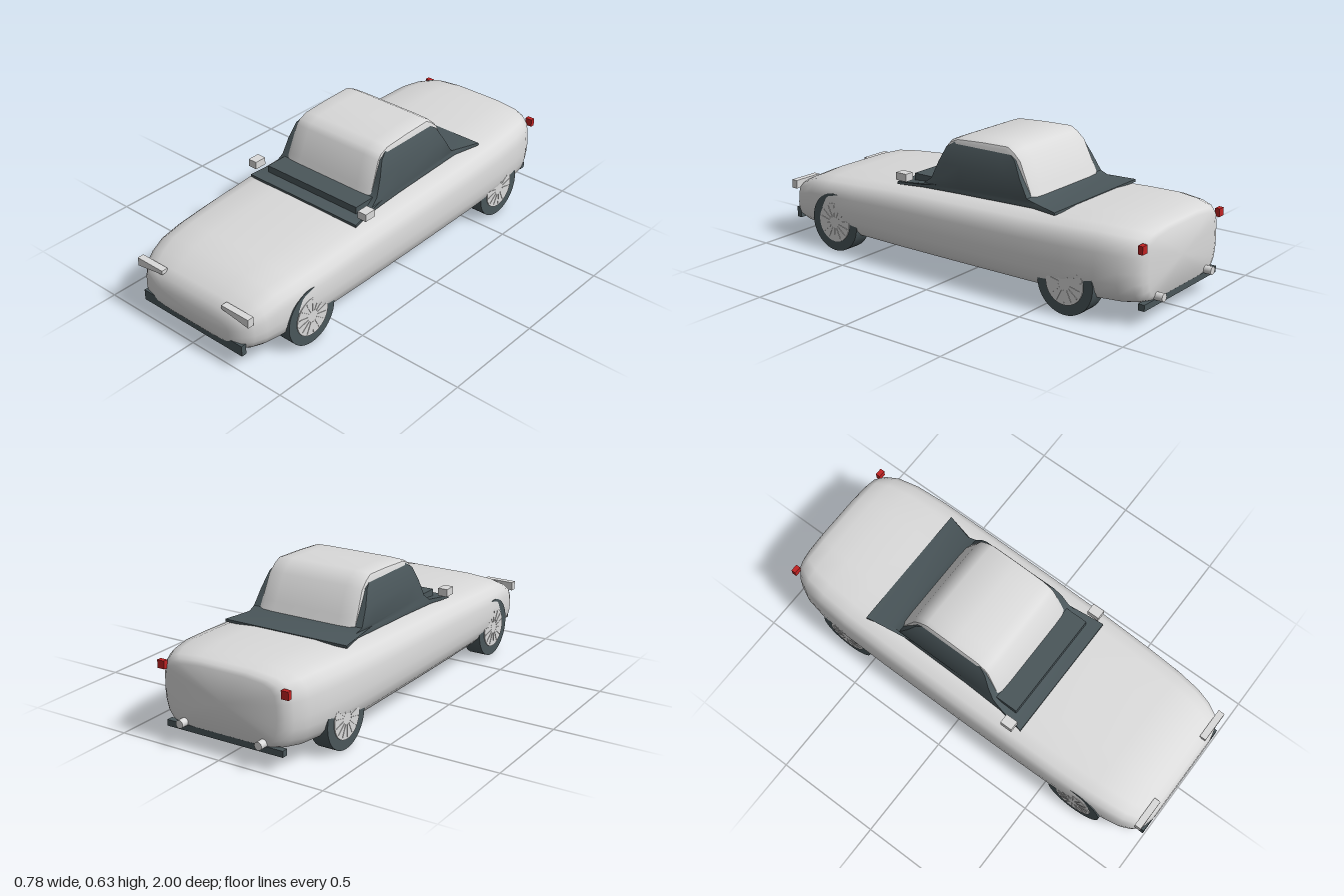
import * as THREE from 'three';
import { toCreasedNormals } from 'three/addons/utils/BufferGeometryUtils.js';

const mat = (name, color) => Object.assign(new THREE.MeshStandardMaterial({ color }), { name });

// Skins a list of equal-length closed rings and caps both ends
function loft(rings, crease) {
  const n = rings[0].length, pos = rings.flat(2), idx = [];
  for (let r = 0; r < rings.length - 1; r++) {
    for (let i = 0; i < n; i++) {
      const a = r * n + i, b = r * n + (i + 1) % n;
      idx.push(a, b, b + n, a, b + n, a + n);
    }
  }
  [0, rings.length - 1].forEach((r, end) => {
    const c = pos.length / 3;
    for (let k = 0; k < 3; k++) pos.push(rings[r].reduce((s, p) => s + p[k], 0) / n);
    for (let i = 0; i < n; i++) {
      const a = r * n + i, b = r * n + (i + 1) % n;
      if (end) idx.push(a, b, c); else idx.push(b, a, c);
    }
  });
  // Turn the faces outward if the enclosed volume is negative
  const v = i => new THREE.Vector3().fromArray(pos, i * 3);
  let volume = 0;
  for (let i = 0; i < idx.length; i += 3) volume += v(idx[i]).dot(v(idx[i + 1]).cross(v(idx[i + 2])));
  if (volume < 0) idx.reverse();
  const g = new THREE.BufferGeometry();
  g.setAttribute('position', new THREE.Float32BufferAttribute(pos, 3));
  g.setIndex(idx);
  return toCreasedNormals(g, crease);
}

// Completes a right-hand outline with its mirror image in x
const mirrorRing = half => [
  ...half,
  ...half.filter(p => p[0] > 0).reverse().map(([x, y, z]) => [-x, y, z]),
];

export function createModel() {
  const car = new THREE.Group();
  car.name = 'car';
  const paint = mat('silverPaint', 0xdadada);
  const dark = mat('darkGlassAndRubber', 0x4a565a);
  const red = mat('redLamp', 0xc02222);

  const add = (name, geometry, material, x = 0, y = 0, z = 0, parent = car) => {
    const m = new THREE.Mesh(geometry, material);
    m.name = name;
    m.position.set(x, y, z);
    parent.add(m);
    return m;
  };
  // Box given by its limits
  const box = (name, material, x0, x1, y0, y1, z0, z1) =>
    add(name, new THREE.BoxGeometry(x1 - x0, y1 - y0, z1 - z0), material,
      (x0 + x1) / 2, (y0 + y1) / 2, (z0 + z1) / 2);

  // Body: one rounded section scaled along the length
  const section = [[0, 0], [0.52, 0], [0.73, 0.025], [0.88, 0.08], [0.955, 0.18], [0.99, 0.32], [1, 0.47],
    [0.99, 0.68], [0.965, 0.82], [0.89, 0.91], [0.75, 0.965], [0.4, 1], [0, 1]];
  // z, half width, bottom, top
  const stations = [
    [1, 0.22, 0.11, 0.2], [0.985, 0.285, 0.09, 0.247], [0.95, 0.322, 0.077, 0.276], [0.9, 0.345, 0.073, 0.3],
    [0.83, 0.36, 0.07, 0.33], [0.72, 0.373, 0.07, 0.343], [0.55, 0.381, 0.07, 0.356], [0.3, 0.386, 0.068, 0.374],
    [0, 0.388, 0.068, 0.384], [-0.4, 0.387, 0.068, 0.395], [-0.62, 0.384, 0.068, 0.405], [-0.77, 0.373, 0.07, 0.41],
    [-0.87, 0.353, 0.072, 0.404], [-0.93, 0.322, 0.077, 0.396], [-0.955, 0.295, 0.085, 0.386], [-0.965, 0.265, 0.1, 0.37],
  ];
  const bodyRings = stations.map(([z, w, y0, y1]) =>
    mirrorRing(section.map(([x, y]) => [x * w, y0 + y * (y1 - y0), z])));
  add('body', loft(bodyRings, 1.1), paint);

  // Dark cabin sides flaring into a thin base plate that follows the deck
  const deck = z => 0.391 - 0.0255 * z;
  const plate = [[0.31, 0.325], [0.287, 0.2], [0.28, 0], [0.277, -0.4], [0.31, -0.535]];
  const skirt = [[0.285, 0.19], [0.283, 0.12], [0.278, 0], [0.274, -0.28], [0.274, -0.41]];
  const level = (y, w, z0, z1) => [z0, z0 * 0.7, 0, z1 * 0.75, z1].map(z => [w, y, z]);
  const cabinRings = [
    plate.map(([x, z]) => [x, deck(z) - 0.012, z]),
    plate.map(([x, z]) => [x, deck(z), z]),
    skirt.map(([x, z]) => [x, deck(z) + 0.01, z]),
    level(0.425, 0.279, 0.152, -0.37),
    level(0.5, 0.269, 0.12, -0.325),
    level(0.57, 0.251, 0.088, -0.285),
    level(0.603, 0.234, 0.04, -0.235),
  ].map(mirrorRing);
  add('cabin', loft(cabinRings, 0.7), dark);

  // Roof shell: windscreen, roof and rear screen in one rounded band
  const band = [[0.175, 0.385], [0.153, 0.45], [0.105, 0.575], [0.085, 0.598], [0.04, 0.616], [-0.1, 0.624],
    [-0.24, 0.627], [-0.275, 0.608], [-0.312, 0.575], [-0.365, 0.46], [-0.395, 0.395]];
  const shrink = d => ([z, y]) => [-0.1 + (z + 0.1) * (1 - d * 4), y - d * Math.min(1, (y - 0.38) * 5)];
  const roofRings = [[-0.241, 0.022], [-0.236, 0.009], [-0.215, 0.002], [-0.16, 0],
    [0.16, 0], [0.215, 0.002], [0.236, 0.009], [0.241, 0.022]].map(([x, d]) =>
    band.map(shrink(d)).map(([z, y]) => [x * (1 + (0.6 - y) * 0.22), y, z]));
  add('roofShell', loft(roofRings, 0.8), paint);
  box('cowl', dark, -0.26, 0.26, 0.385, 0.421, 0.15, 0.265);

  // Bumpers
  box('frontBumper', dark, -0.29, 0.29, 0.08, 0.13, 0.972, 0.997);
  box('rearBumper', dark, -0.29, 0.29, 0.07, 0.098, -0.964, -0.935);

  // Wheels with spoked hubs
  const tyreGeo = new THREE.CylinderGeometry(0.137, 0.137, 0.085, 40).rotateZ(Math.PI / 2);
  const hubGeo = new THREE.CylinderGeometry(0.092, 0.092, 0.094, 32).rotateZ(Math.PI / 2);
  const spokeGeo = new THREE.BoxGeometry(0.098, 0.055, 0.004).translate(0, 0.055, 0);

  for (const s of [1, -1]) {
    const side = s > 0 ? 'left' : 'right';
    for (const [end, z] of [['Front', 0.667], ['Rear', -0.632]]) {
      const wheel = new THREE.Group();
      wheel.name = `${side}${end}Wheel`;
      wheel.position.set(s * 0.3275, 0.137, z);
      car.add(wheel);
      add('tyre', tyreGeo, dark, 0, 0, 0, wheel);
      add('hub', hubGeo, paint, 0, 0, 0, wheel);
      for (let i = 0; i < 14; i++) {
        add('spoke', spokeGeo, paint, 0, 0, 0, wheel).rotation.x = i * Math.PI / 7;
      }
    }

    // Tapered headlamp, deeper at its outer end
    const lamp = [[0.175, 0.275], [0.325, 0.275], [0.325, 0.235], [0.175, 0.257]];
    const lampRings = [0.957, 0.988].map(z => lamp.map(([x, y]) => [s * x, y, z]));
    add(`${side}Headlamp`, loft(lampRings, 0.3), paint);

    // Mirror, tail lamp and exhaust
    const pair = (name, material, x, y, z, w, h, d) =>
      add(`${side}${name}`, new THREE.BoxGeometry(w, h, d), material, s * x, y, z);
    pair('Mirror', paint, 0.322, 0.42, 0.272, 0.045, 0.035, 0.058);
    pair('TailLamp', red, 0.307, 0.337, -0.958, 0.035, 0.036, 0.022);
    add(`${side}Exhaust`, new THREE.CylinderGeometry(0.018, 0.018, 0.07, 20).rotateX(Math.PI / 2),
      paint, s * 0.197, 0.11, -0.965);
  }
  return car;
}
